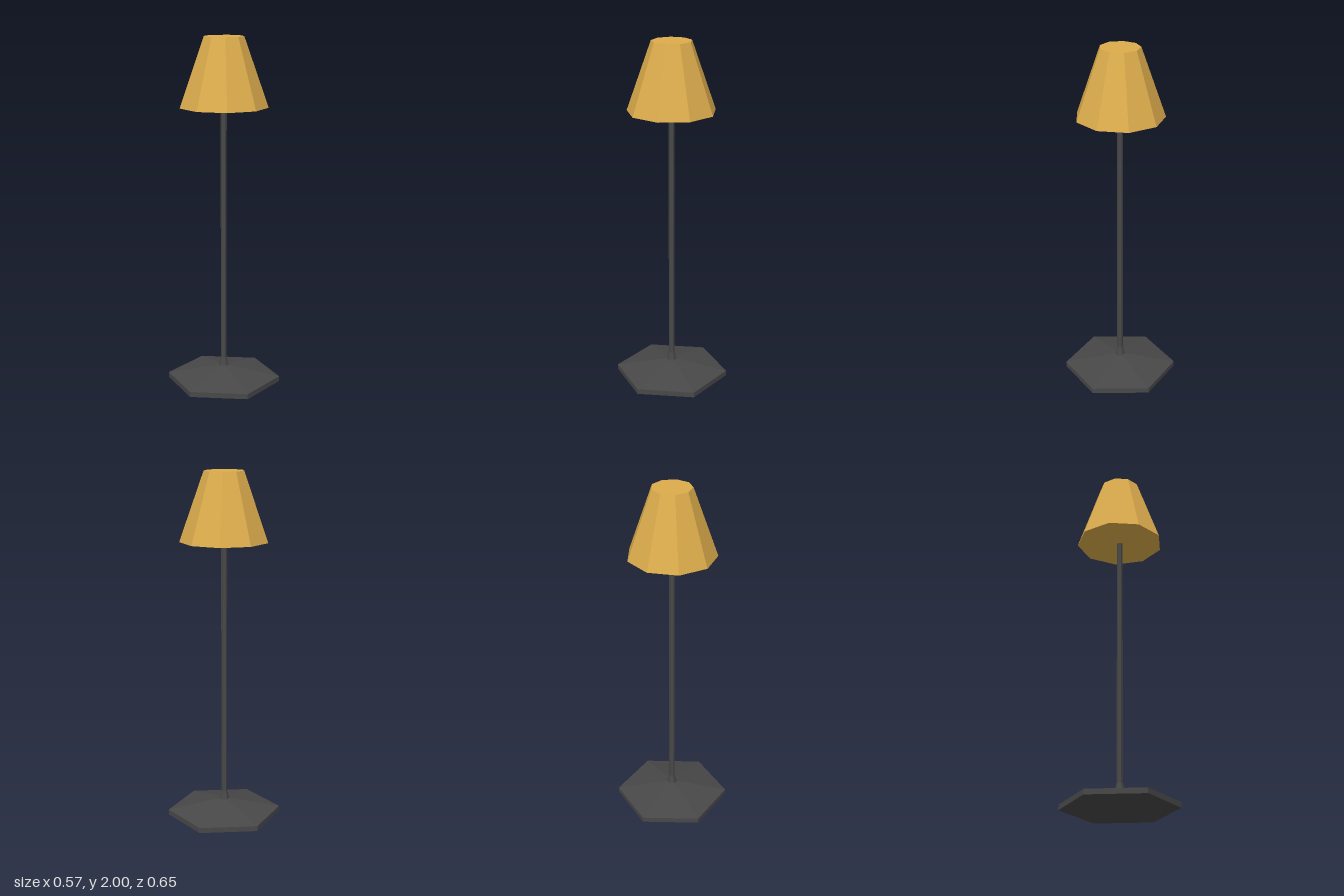
import * as THREE from 'three';

export function createModel() {
  const model = new THREE.Group();
  const darkMetal = new THREE.MeshStandardMaterial({ color: 0x484848, flatShading: true });
  darkMetal.name = 'darkMetal';
  const amberShade = new THREE.MeshStandardMaterial({ color: 0xdcac4c, flatShading: true });
  amberShade.name = 'amberShade';

  // faceted solid turned from a profile of [radius, height] points
  const turned = (name, profile, sides, material, start = 0) => {
    const points = profile.map(([r, y]) => new THREE.Vector2(r, y));
    const mesh = new THREE.Mesh(new THREE.LatheGeometry(points, sides, start), material);
    mesh.name = name;
    model.add(mesh);
  };

  // hexagonal foot with a shallow sloping top
  turned('base', [[0, 0], [0.327, 0], [0.327, 0.03], [0.03, 0.092], [0, 0.092]], 6, darkMetal);
  // flared collar where the pole meets the foot
  turned('collar', [[0.031, 0.09], [0.017, 0.14]], 6, darkMetal);
  // slim pole reaching into the shade
  turned('pole', [[0.017, 0.138], [0.017, 1.62]], 6, darkMetal);
  // closed nine-sided shade with one corner at the back
  turned('shade', [[0, 1.61], [0.25, 1.61], [0.113, 2], [0, 2]], 9, amberShade, Math.PI);

  return model;
}
